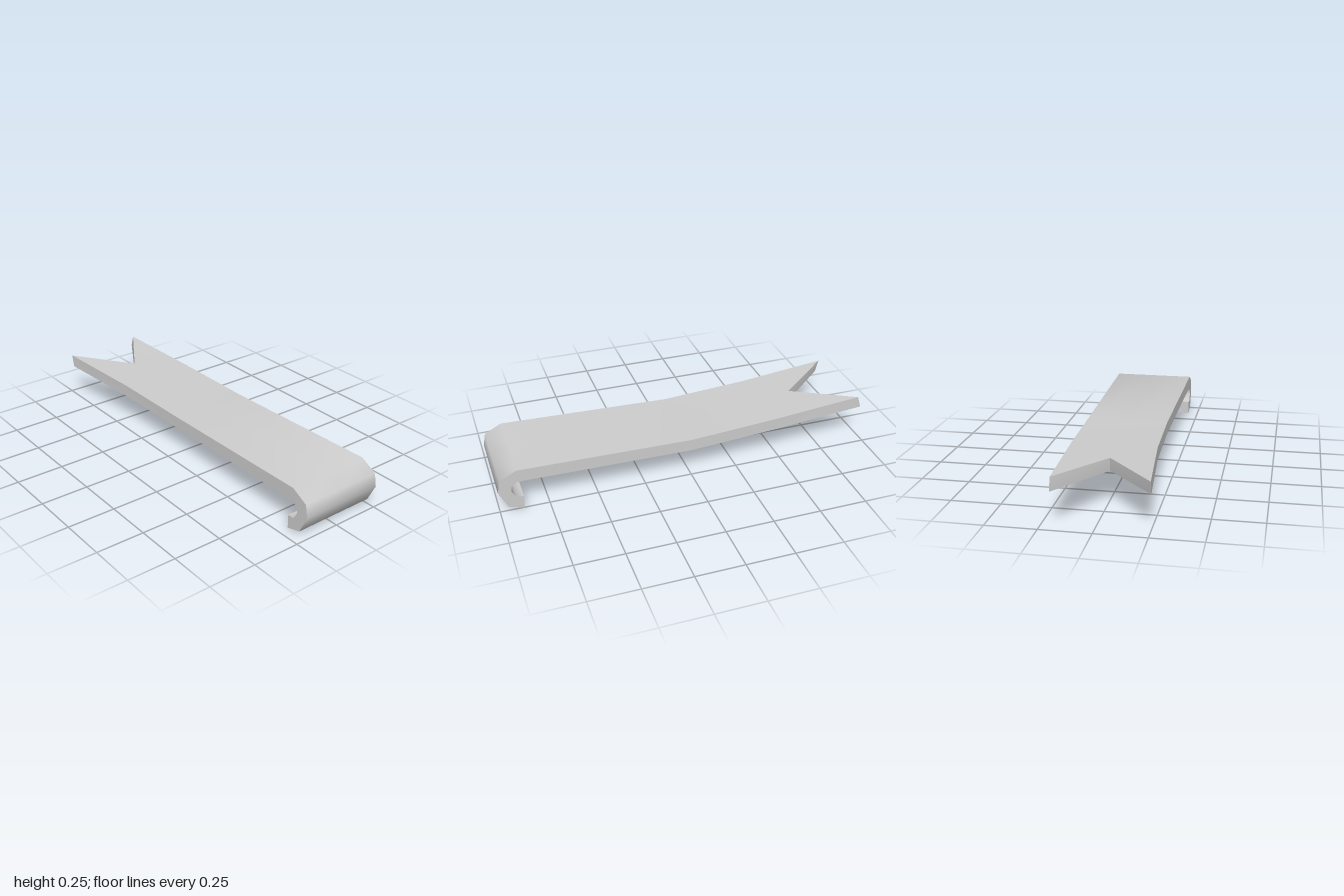
import * as THREE from 'three';
import { toCreasedNormals } from 'three/addons/utils/BufferGeometryUtils.js';

export function createModel() {
  const grey = new THREE.MeshStandardMaterial({ color: 0xcccccc });
  grey.name = 'plain grey';

  // Cross-sections from the hook lip to the notched tail.
  // Each has left, middle and right columns: [x, outer z, outer y, inner z, inner y]
  const across = (l, m, r, ...zy) => [l, m, r].map((x) => [x, ...zy]);
  const hook = [
    [0.877, 0, 0.877, 0.072],
    [0.955, 0.022, 0.912, 0.072],
    [1.0, 0.115, 0.934, 0.11],
    [0.987, 0.183, 0.931, 0.138],
    [0.9, 0.229, 0.902, 0.162],
  ];
  const sections = [
    ...hook.map((zy) => across(-0.195, 0.028, 0.252, ...zy)),
    across(-0.185, 0.03, 0.245, 0, 0.21, 0, 0.147),
    across(-0.205, 0.01, 0.225, -0.46, 0.227, -0.46, 0.163),
    // forked tail: left tip, notch, right tip
    [
      [-0.253, -0.96, 0.247, -0.945, 0.182],
      [-0.012, -0.66, 0.234, -0.66, 0.17],
      [0.191, -0.98, 0.247, -1.0, 0.184],
    ],
  ];

  const outer = (i, c) => [sections[i][c][0], sections[i][c][2], sections[i][c][1]];
  const inner = (i, c) => [sections[i][c][0], sections[i][c][4], sections[i][c][3]];
  const positions = [];
  const quad = (a, b, c, d) => positions.push(...a, ...b, ...c, ...a, ...c, ...d);

  const last = sections.length - 1;
  for (let i = 0; i < last; i++) {
    // outer and inner skins
    for (let c = 0; c < 2; c++) {
      quad(outer(i, c), outer(i, c + 1), outer(i + 1, c + 1), outer(i + 1, c));
      quad(inner(i, c + 1), inner(i, c), inner(i + 1, c), inner(i + 1, c + 1));
    }
    // side walls
    quad(inner(i, 2), inner(i + 1, 2), outer(i + 1, 2), outer(i, 2));
    quad(inner(i, 0), outer(i, 0), outer(i + 1, 0), inner(i + 1, 0));
  }
  // lip face and the two faces of the notch
  for (let c = 0; c < 2; c++) {
    quad(inner(0, c), inner(0, c + 1), outer(0, c + 1), outer(0, c));
    quad(inner(last, c + 1), inner(last, c), outer(last, c), outer(last, c + 1));
  }

  const raw = new THREE.BufferGeometry();
  raw.setAttribute('position', new THREE.Float32BufferAttribute(positions, 3));
  const strip = new THREE.Mesh(toCreasedNormals(raw, 1.1), grey);
  strip.name = 'hookedStrip';

  const group = new THREE.Group();
  group.name = 'notchedHookStrip';
  group.add(strip);
  return group;
}
